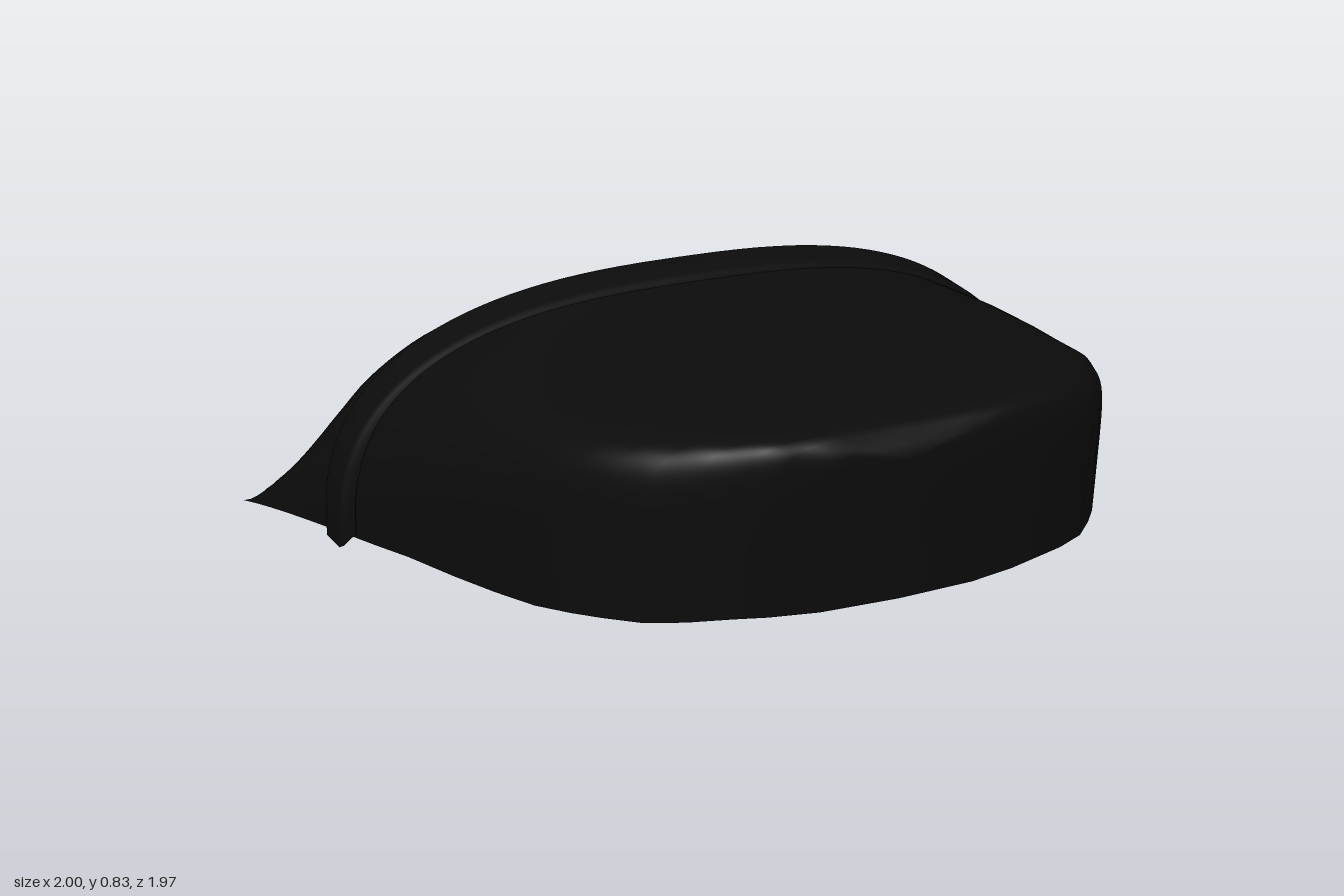
import * as THREE from 'three';

const N = 64; // segments across, from the left rim over the top to the right rim

// Body stations, front to back: z, half width, rim height, top height, squareness
const STATIONS = [
  [0.985, 0, 0.43, 0.77, 8],
  [0.977, 0.18, 0.43, 0.80, 8],
  [0.955, 0.29, 0.43, 0.825, 8],
  [0.93, 0.36, 0.428, 0.832, 8],
  [0.89, 0.45, 0.42, 0.831, 8],
  [0.84, 0.53, 0.413, 0.828, 8],
  [0.77, 0.59, 0.405, 0.822, 8],
  [0.70, 0.64, 0.397, 0.815, 8],
  [0.60, 0.69, 0.382, 0.806, 7],
  [0.45, 0.735, 0.358, 0.792, 5.6],
  [0.30, 0.78, 0.335, 0.783, 4.6],
  [0.10, 0.83, 0.302, 0.78, 3.6],
  [-0.05, 0.868, 0.272, 0.78, 3],
  [-0.20, 0.90, 0.24, 0.78, 2.6],
];

// Left half of the rear edge, from the outer rim round the tip to the middle
const REAR_EDGE = new THREE.CatmullRomCurve3([
  [1, 0.03, -0.94], [0.95, 0.006, -0.978], [0.87, 0.008, -0.985], [0.8, 0.06, -0.965],
  [0.735, 0.17, -0.9], [0.64, 0.29, -0.80], [0.48, 0.385, -0.695], [0.27, 0.45, -0.635],
  [0, 0.475, -0.615],
].map((p) => new THREE.Vector3(...p)));

// One arch-shaped section; the nose leans forward towards the top
function arch([z, w, rim, top, n]) {
  const lean = 0.1 * THREE.MathUtils.smoothstep(z, 0.4, 0.95);
  const row = [];
  for (let j = 0; j <= N; j++) {
    const a = (Math.PI * j) / N;
    const c = Math.cos(a);
    const x = j * 2 === N ? 0 : w * Math.sign(c) * Math.abs(c) ** (2 / n);
    const y = rim + (top - rim) * Math.max(0, Math.sin(a)) ** (2 / n);
    row.push(new THREE.Vector3(x, y, z + lean * (y - 0.8)));
  }
  return row;
}

function rearEdge() {
  const row = [];
  for (let j = 0; j <= N; j++) {
    const f = (2 * j) / N;
    const p = REAR_EDGE.getPoint(f <= 1 ? f : 2 - f);
    if (f > 1) p.x *= -1;
    row.push(p);
  }
  return row;
}

// Skin a list of equal-length rows
function loft(rows) {
  const index = [];
  const m = N + 1;
  for (let i = 0; i < rows.length - 1; i++) {
    for (let j = 0; j < N; j++) {
      const a = i * m + j;
      index.push(a, a + m, a + 1, a + 1, a + m, a + m + 1);
    }
  }
  const geometry = new THREE.BufferGeometry().setFromPoints(rows.flat());
  geometry.setIndex(index);
  geometry.computeVertexNormals();
  return geometry;
}

export function createModel() {
  const group = new THREE.Group();
  group.name = 'saddle';
  const black = new THREE.MeshStandardMaterial({ color: 0x0c0c0c, side: THREE.DoubleSide });
  black.name = 'black leather';
  const add = (name, geometry) => {
    const mesh = new THREE.Mesh(geometry, black);
    mesh.name = name;
    group.add(mesh);
  };

  // Padded front shell, open underneath
  const body = STATIONS.map(arch);
  add('seatShell', loft(body));

  // Rear skirt sweeping down into two tips
  const start = body[body.length - 1];
  const end = rearEdge();
  const skirt = [];
  for (let i = 0; i <= 10; i++) {
    const v = i / 10;
    const bulge = 4 * v * (1 - v);
    skirt.push(start.map((p, j) => {
      const a = (Math.PI * j) / N;
      const q = p.clone().lerp(end[j], v);
      q.x += 0.025 * Math.cos(a) * bulge;
      q.y += (0.02 + 0.08 * Math.sin(a)) * bulge;
      return q;
    }));
  }
  add('rearSkirt', loft(skirt));

  // Raised strap across the seat: z and how far it stands out
  const strap = [
    [-0.138, -0.02], [-0.138, 0.012], [-0.15, 0.02], [-0.262, 0.022], [-0.272, 0.014], [-0.272, -0.02],
  ].map(([z, out]) => arch([z, 0.91 + out, 0.242 - 0.14 * (z + 0.2) * -1 - out * 0.8, 0.78 + out, 2.6]));
  add('strap', loft(strap));

  return group;
}
